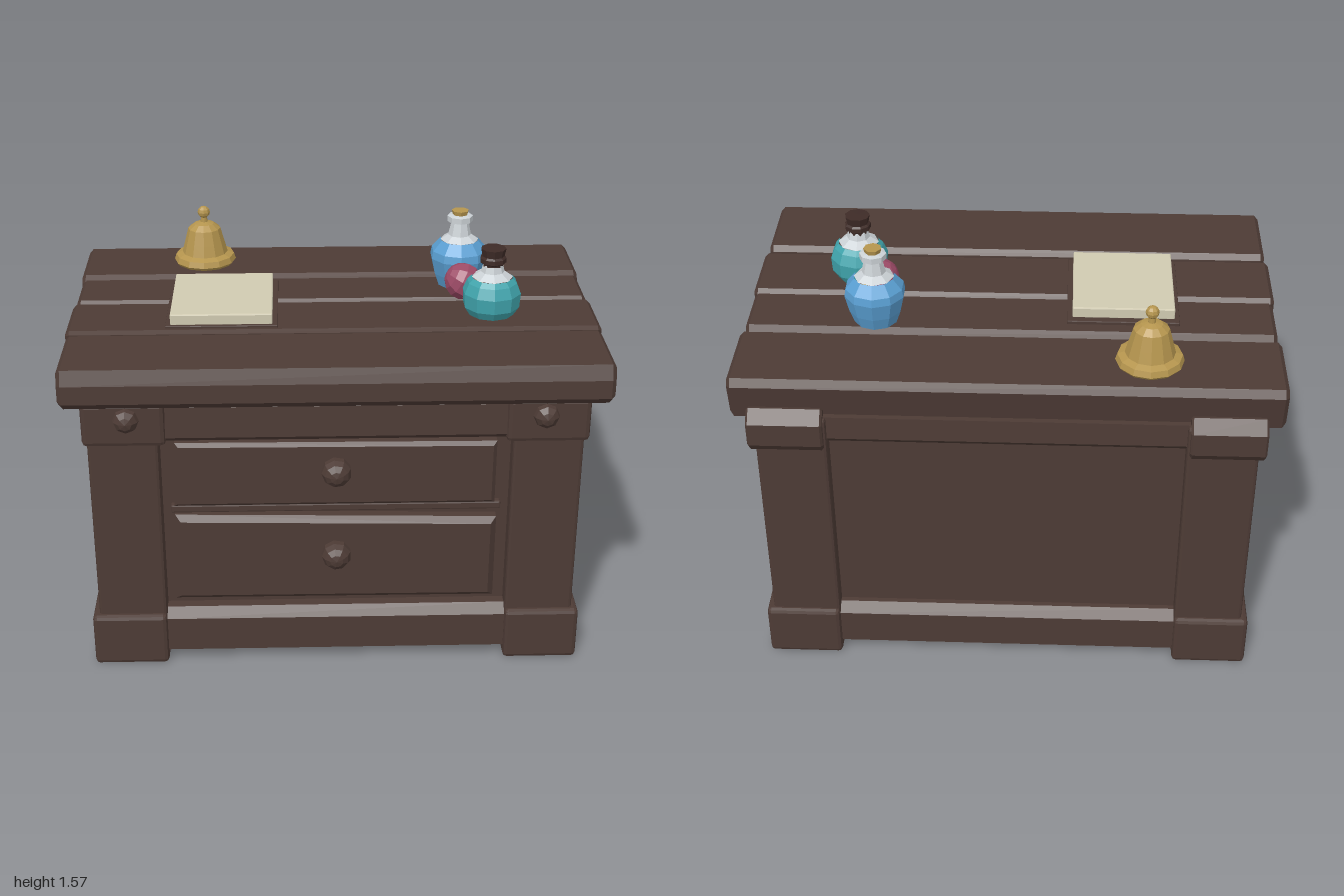
import * as THREE from 'three';
import { RoundedBoxGeometry } from 'three/addons/geometries/RoundedBoxGeometry.js';

const paint = (name, color) => {
  const m = new THREE.MeshStandardMaterial({ color, flatShading: true });
  m.name = name;
  return m;
};

export function createModel() {
  const root = new THREE.Group();
  root.name = 'shopCounter';
  const wood = paint('dark wood', 0x4d3b35);
  const dark = paint('dark cork', 0x3e2b27);
  const gold = paint('brass', 0xb5954e);
  const paper = paint('paper', 0xd0cab1);
  const blue = paint('blue potion', 0x5a9fd2);
  const teal = paint('teal potion', 0x40a4ac);
  const pink = paint('pink potion', 0x9c4a66);
  const glass = paint('pale glass', 0xccd2d6);

  const add = (name, geo, mat, x = 0, y = 0, z = 0, parent = root) => {
    const m = new THREE.Mesh(geo, mat);
    m.name = name;
    m.position.set(x, y, z);
    parent.add(m);
    return m;
  };
  // Chamfered block given by its limits
  const block = (name, [x0, x1], [y0, y1], [z0, z1], bevel = 0.012, mat = wood) =>
    add(name, new RoundedBoxGeometry(x1 - x0, y1 - y0, z1 - z0, 1, bevel), mat,
      (x0 + x1) / 2, (y0 + y1) / 2, (z0 + z1) / 2);
  // Outline extruded with a one-step bevel kept inside the outline, centred in depth
  const prism = (pts, length, bevel) => {
    const shape = new THREE.Shape(pts.map(p => new THREE.Vector2(...p)));
    const g = new THREE.ExtrudeGeometry(shape, {
      depth: length - 2 * bevel, bevelThickness: bevel, bevelSize: bevel,
      bevelOffset: -bevel, bevelSegments: 1,
    });
    return g.translate(0, 0, -(length - 2 * bevel) / 2);
  };
  // Cross-section in (z, y) running along x
  const beam = (name, pts, x0, x1, bevel = 0.015) =>
    add(name, prism(pts, x1 - x0, bevel).rotateY(-Math.PI / 2), wood, (x0 + x1) / 2);
  const lathe = (name, pts, mat, sides, parent) =>
    add(name, new THREE.LatheGeometry(pts.map(p => new THREE.Vector2(...p)), sides), mat, 0, 0, 0, parent);
  const place = (name, x, y, z) => {
    const g = new THREE.Group();
    g.name = name;
    g.position.set(x, y, z);
    root.add(g);
    return g;
  };

  // Table top planks
  beam('frontPlank', [[0.64, 1.285], [0.33, 1.28], [0.31, 1.26], [0.302, 1.13], [0.34, 1.11],
    [0.62, 1.125], [0.662, 1.16], [0.66, 1.23]], -0.99, 0.99);
  beam('middleFrontPlank', [[0.29, 1.265], [0.27, 1.275], [0.01, 1.272], [-0.008, 1.255],
    [-0.008, 1.12], [0.28, 1.125]], -1, 1);
  beam('middleBackPlank', [[-0.012, 1.255], [-0.03, 1.272], [-0.245, 1.27], [-0.262, 1.24],
    [-0.245, 1.115], [-0.012, 1.12]], -0.99, 0.99);
  beam('backPlank', [[-0.268, 1.25], [-0.3, 1.272], [-0.6, 1.27], [-0.618, 1.24],
    [-0.595, 1.1], [-0.26, 1.125]], -1, 1);

  // Carcass, rails and base
  block('carcass', [-0.85, 0.85], [0.05, 1.12], [-0.58, 0.49], 0.005);
  beam('frontTopRail', [[0.4, 0.955], [0.545, 0.955], [0.575, 0.98], [0.57, 1.1], [0.55, 1.125], [0.4, 1.125]],
    -0.64, 0.64, 0.005);
  beam('frontBaseRail', [[0.4, 0.05], [0.565, 0.05], [0.565, 0.19], [0.53, 0.225], [0.4, 0.225]],
    -0.67, 0.67, 0.005);
  beam('backBaseRail', [[-0.5, 0.05], [-0.64, 0.05], [-0.64, 0.19], [-0.6, 0.22], [-0.5, 0.22]],
    -0.67, 0.67, 0.005);
  beam('backTopRail', [[-0.5, 1.0], [-0.595, 1.0], [-0.625, 1.03], [-0.62, 1.12], [-0.5, 1.12]],
    -0.67, 0.67, 0.005);
  block('drawerDivider', [-0.62, 0.62], [0.632, 0.664], [0.45, 0.515], 0.006);

  for (const s of [-1, 1]) {
    const span = (a, b) => (s > 0 ? [a, b] : [-b, -a]);
    // Corner posts with feet and capitals
    block('frontLeg', span(0.65, 0.91), [0.1, 1.0], [0.35, 0.56]);
    block('backLeg', span(0.65, 0.91), [0.1, 1.12], [-0.64, -0.42]);
    block('frontFoot', span(0.65, 0.935), [0, 0.215], [0.34, 0.585], 0.016);
    block('backFoot', span(0.65, 0.935), [0, 0.215], [-0.662, -0.41], 0.016);
    block('frontCapital', span(0.62, 0.925), [0.95, 1.125], [0.34, 0.587], 0.018);
    beam('backCapital', [[-0.5, 0.985], [-0.638, 0.985], [-0.664, 1.02], [-0.664, 1.11],
      [-0.62, 1.155], [-0.5, 1.12]], ...span(0.66, 0.935), 0.008);
    // Side panelling and rails
    block('sidePanelFront', span(0.8, 0.872), [0.2, 0.97], [-0.022, 0.36], 0.004);
    block('sidePanelBack', span(0.8, 0.872), [0.2, 0.97], [-0.43, -0.026], 0.004);
    block('sideTopRail', span(0.8, 0.91), [0.955, 1.12], [-0.43, 0.36], 0.016);
    block('sideBaseRail', span(0.8, 0.912), [0.05, 0.215], [-0.43, 0.36], 0.02);
    const crack = new THREE.Shape([[-0.008, 0.95], [0.008, 0.95], [0.004, 0.7], [0, 0.55]]
      .map(p => new THREE.Vector2(...p)));
    add('panelCrack', new THREE.ShapeGeometry(crack), dark, s * 0.874, 0, -0.024)
      .rotation.y = s * Math.PI / 2;
    // Round studs on the capitals
    add('stud', new THREE.SphereGeometry(0.05, 8, 6), wood, s * 0.76, 1.06, 0.58)
      .rotation.x = Math.PI / 2;
  }

  // Drawer fronts and knobs
  add('upperDrawer', prism([[-0.605, 0.67], [0.595, 0.67], [0.595, 0.928], [-0.595, 0.935]], 0.08, 0.014),
    wood, 0, 0, 0.5);
  add('lowerDrawer', prism([[-0.615, 0.262], [0.605, 0.258], [0.605, 0.605], [-0.605, 0.63]], 0.09, 0.022),
    wood, 0, 0, 0.5);
  for (const y of [0.83, 0.475]) {
    add('knob', new THREE.SphereGeometry(0.057, 9, 7), wood, 0, y, 0.572).rotation.x = Math.PI / 2;
    add('knobStem', new THREE.CylinderGeometry(0.03, 0.03, 0.08, 8), wood, 0, y, 0.545)
      .rotation.x = Math.PI / 2;
  }

  // Paper stack on its mat
  block('paperMat', [-0.63, -0.21], [1.265, 1.284], [-0.2, 0.257], 0.003);
  block('paperStack', [-0.612, -0.23], [1.28, 1.325], [-0.172, 0.245], 0.005, paper);

  // Desk bell
  const bell = place('bell', -0.51, 1.272, -0.445);
  lathe('bellBody', [[0, 0], [0.115, 0], [0.125, 0.012], [0.118, 0.035], [0.092, 0.045], [0.08, 0.09],
    [0.065, 0.145], [0.04, 0.165], [0.014, 0.172], [0.012, 0.2], [0, 0.2]], gold, 12, bell);
  add('bellKnob', new THREE.SphereGeometry(0.025, 8, 6), gold, 0, 0.212, 0, bell);

  // Tall blue bottle
  const tall = place('blueBottle', 0.505, 1.27, -0.185);
  lathe('liquid', [[0, 0], [0.082, 0], [0.1, 0.05], [0.115, 0.115], [0.11, 0.145], [0.075, 0.185]], blue, 10, tall);
  lathe('neck', [[0.075, 0.185], [0.045, 0.205], [0.034, 0.255], [0.05, 0.26], [0.05, 0.282],
    [0.035, 0.287], [0, 0.287]], glass, 8, tall);
  add('cork', new THREE.CylinderGeometry(0.034, 0.028, 0.025, 7), gold, 0, 0.291, 0, tall);

  // Round teal bottle
  const round = place('tealBottle', 0.6, 1.272, 0.13);
  lathe('liquid', [[0, 0], [0.085, 0], [0.108, 0.035], [0.112, 0.09], [0.095, 0.13], [0.078, 0.148]], teal, 10, round);
  lathe('neck', [[0.078, 0.148], [0.045, 0.17], [0.037, 0.2], [0, 0.2]], glass, 8, round);
  lathe('cork', [[0, 0.17], [0.036, 0.17], [0.038, 0.2], [0.05, 0.208], [0.05, 0.225], [0.042, 0.232],
    [0.048, 0.262], [0, 0.264]], dark, 9, round);

  // Small pink flask lying on its side
  const flask = place('pinkFlask', 0.505, 1.347, -0.01);
  flask.rotation.z = -Math.PI * 2 / 3;
  add('flaskBody', new THREE.SphereGeometry(0.072, 9, 7), pink, 0, 0, 0, flask);
  add('flaskBand', new THREE.CylinderGeometry(0.05, 0.066, 0.04, 9), gold, 0, 0.045, 0, flask);
  add('flaskCork', new THREE.CylinderGeometry(0.038, 0.044, 0.025, 8), dark, 0, 0.072, 0, flask);

  return root;
}
